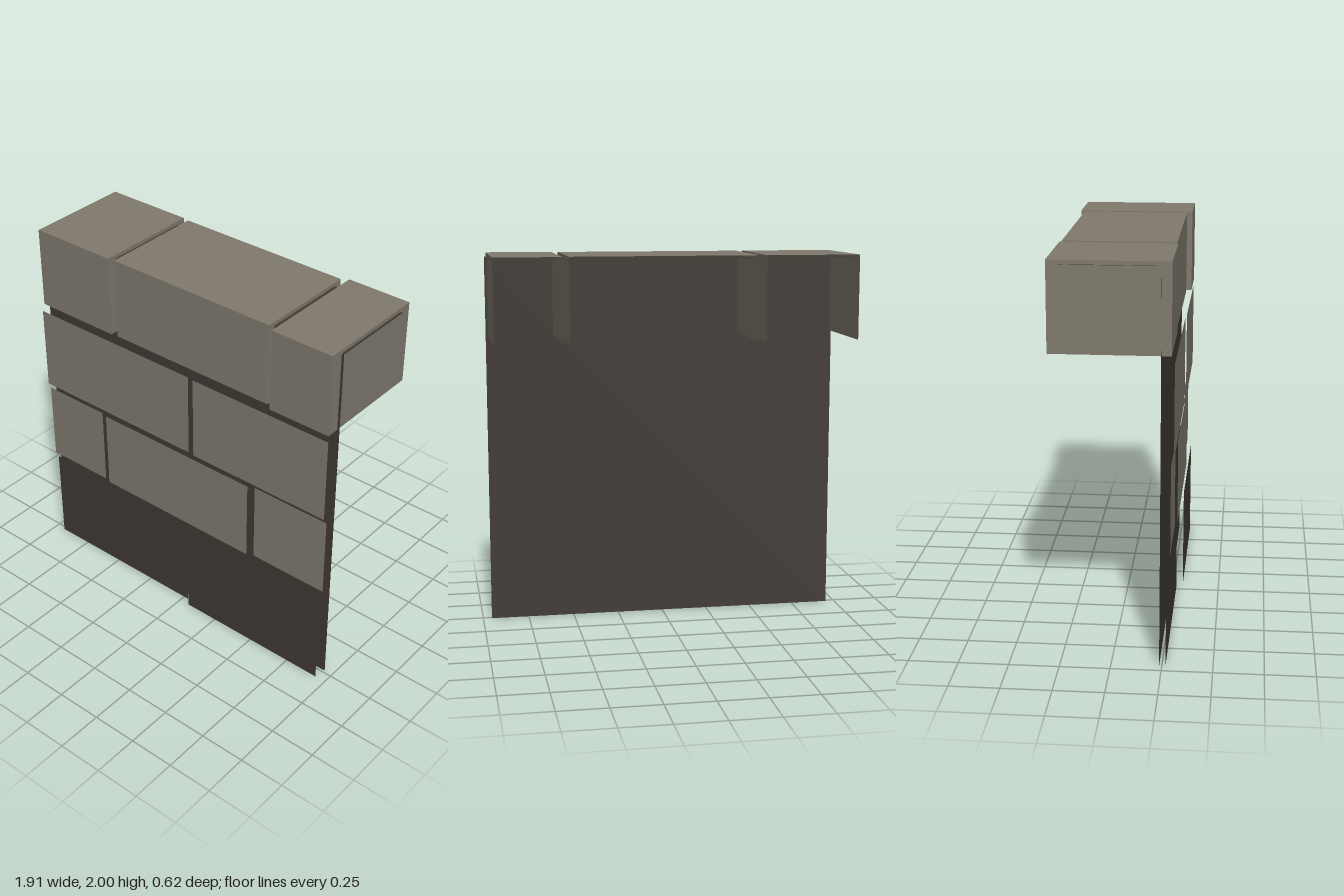
import * as THREE from 'three';

export function createModel() {
  const wall = new THREE.Group();
  wall.name = 'stoneWall';

  const material = (name, color) =>
    new THREE.MeshStandardMaterial({ name, color, side: THREE.DoubleSide });
  const stone = material('stone', 0x7f796d);
  const mortar = material('dark mortar', 0x3f3932);

  // Flat panels facing front (+z), up (+y) and sideways (+x or -x)
  function addPanel(parent, name, w, h, mat, position, rotX = 0, rotY = 0) {
    const mesh = new THREE.Mesh(new THREE.PlaneGeometry(w, h), mat);
    mesh.name = name;
    mesh.position.set(...position);
    mesh.rotation.set(rotX, rotY, 0);
    parent.add(mesh);
  }
  const front = (parent, name, x0, x1, y0, y1, z, mat) =>
    addPanel(parent, name, x1 - x0, y1 - y0, mat, [(x0 + x1) / 2, (y0 + y1) / 2, z]);
  const top = (parent, name, x0, x1, z0, z1, y, mat) =>
    addPanel(parent, name, x1 - x0, z1 - z0, mat, [(x0 + x1) / 2, y, (z0 + z1) / 2], -Math.PI / 2);
  const side = (parent, name, z0, z1, y0, y1, x, mat, dir) =>
    addPanel(parent, name, z1 - z0, y1 - y0, mat, [x, (y0 + y1) / 2, (z0 + z1) / 2], 0, dir * Math.PI / 2);

  // Mortar sheet behind the bricks and under the capstones
  front(wall, 'mortarFront', -0.953, 0.953, 0, 1.98, 0.237, mortar);
  top(wall, 'mortarTop', -0.953, 0.953, -0.24, 0.237, 1.98, mortar);

  // Face bricks by course: [x0, x1, z]
  const courses = [
    { name: 'baseBrick', y: [0, 0.542], mat: mortar,
      bricks: [[-0.943, 0.027, 0.268], [0.062, 0.94, 0.302]] },
    { name: 'lowerBrick', y: [0.58, 1.024], mat: stone,
      bricks: [[-0.943, -0.55, 0.286], [-0.515, 0.46, 0.297], [0.495, 0.94, 0.281]] },
    { name: 'middleBrick', y: [1.06, 1.523], mat: stone,
      bricks: [[-0.943, 0.075, 0.3], [0.11, 0.94, 0.305]] },
  ];
  for (const { name, y, mat, bricks } of courses) {
    for (const [x0, x1, z] of bricks) front(wall, name, x0, x1, y[0], y[1], z, mat);
  }

  // Capstones, open at the back and underneath: [x0, x1, z0, z1]
  const caps = [
    [-0.943, -0.453, -0.295, 0.285],
    [-0.418, 0.558, -0.288, 0.279],
    [0.593, 0.94, -0.312, 0.307],
  ];
  for (const [x0, x1, z0, z1] of caps) {
    const cap = new THREE.Group();
    cap.name = 'capstone';
    front(cap, 'capFront', x0, x1, 1.56, 2, z1, stone);
    top(cap, 'capTop', x0, x1, z0, z1, 2, stone);
    side(cap, 'capLeft', z0, z1, 1.56, 2, x1, stone, 1);
    side(cap, 'capRight', z0, z1, 1.56, 2, x0, stone, -1);
    wall.add(cap);
  }
  return wall;
}
